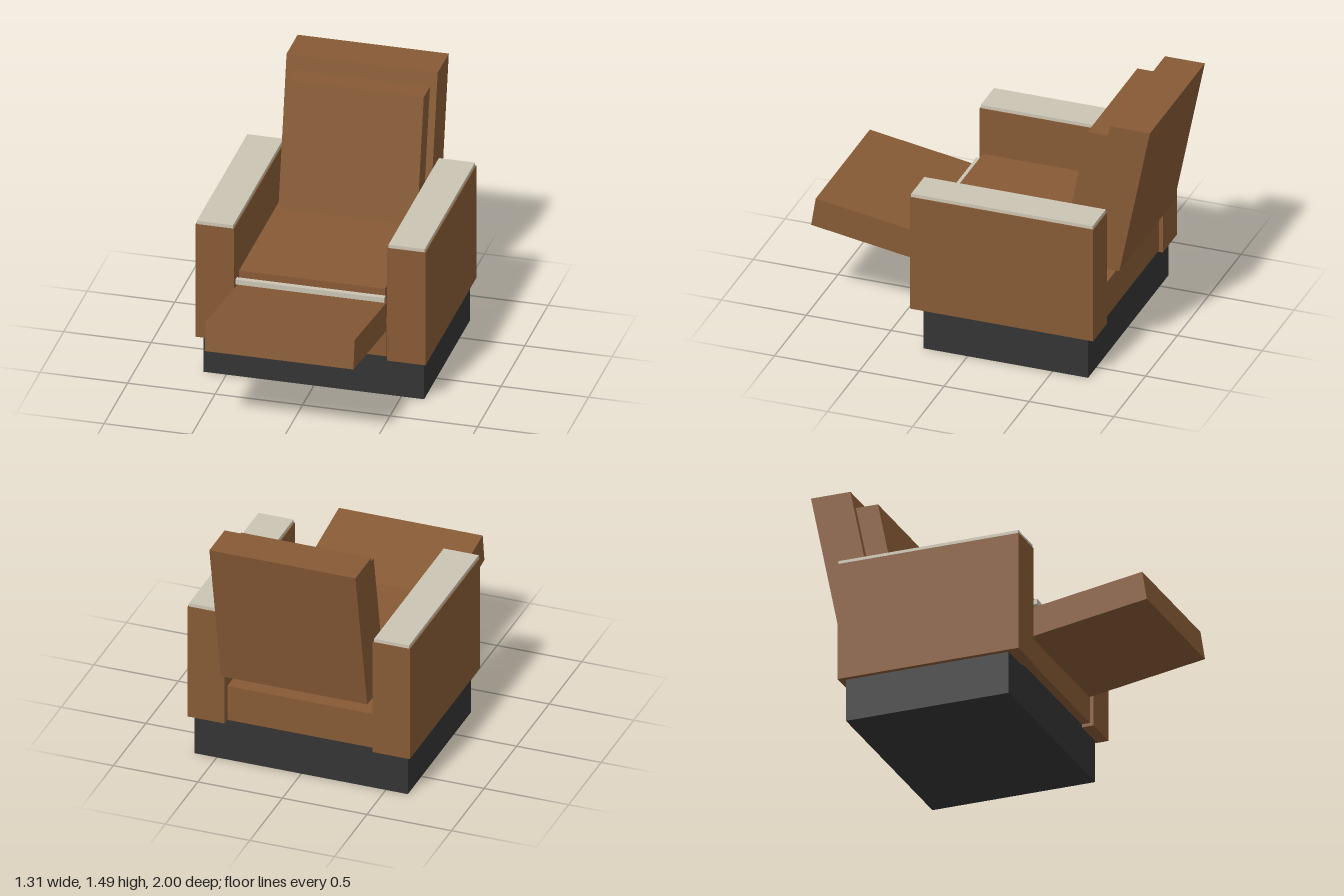
import * as THREE from 'three';

export function createModel() {
  const model = new THREE.Group();
  model.name = 'reclinerArmchair';

  const material = (name, color) => {
    const m = new THREE.MeshStandardMaterial({ color });
    m.name = name;
    return m;
  };
  const leather = material('brown leather', 0x865a35);
  const trim = material('cream trim', 0xcbc4b3);
  const plinth = material('charcoal base', 0x343434);

  // Box from its [min, max] range on each axis
  function addBox(name, mat, [x0, x1], [y0, y1], [z0, z1]) {
    const mesh = new THREE.Mesh(new THREE.BoxGeometry(x1 - x0, y1 - y0, z1 - z0), mat);
    mesh.position.set((x0 + x1) / 2, (y0 + y1) / 2, (z0 + z1) / 2);
    mesh.name = name;
    model.add(mesh);
    return mesh;
  }

  // Box leaning backwards: level top and bottom, sheared in z; z range is given at the top
  function addLeaningBox(name, halfWidth, yRange, zTop) {
    const mesh = addBox(name, leather, [-halfWidth, halfWidth], yRange, zTop);
    const height = yRange[1] - yRange[0];
    const lean = 0.2;
    const shear = new THREE.Matrix4().set(
      1, 0, 0, 0,
      0, 1, 0, 0,
      0, -lean, 1, lean * height / 2,
      0, 0, 0, 1);
    mesh.geometry.applyMatrix4(shear);
    mesh.geometry.computeVertexNormals();
  }

  // Base and seat
  addBox('base', plinth, [-0.63, 0.63], [0, 0.275], [-0.71, 0.26]);
  addBox('seatFrame', leather, [-0.43, 0.43], [0.265, 0.48], [-0.73, 0.31]);
  addBox('seatCushion', leather, [-0.417, 0.417], [0.48, 0.68], [-0.58, 0.302]);
  addBox('seatFrontTrim', trim, [-0.425, 0.425], [0.615, 0.645], [0.315, 0.345]);

  // Arms with trimmed tops
  for (const [side, s] of [['left', 1], ['right', -1]]) {
    const span = (a, b) => (s > 0 ? [a, b] : [-b, -a]);
    addBox(side + 'Arm', leather, span(0.438, 0.657), [0.25, 0.95], [-0.75, 0.33]);
    addBox(side + 'ArmPad', trim, span(0.444, 0.651), [0.95, 0.97], [-0.745, 0.325]);
  }

  // Reclined back and its cushion
  addLeaningBox('backrest', 0.432, [0.59, 1.49], [-1.0, -0.765]);
  addLeaningBox('backCushion', 0.392, [0.66, 1.405], [-0.755, -0.617]);

  // Raised footrest
  const footrest = addBox('footrest', leather, [-0.425, 0.425], [0.475, 0.647], [0.29, 0.99]);
  footrest.position.set(0, 0.56, 0.64);
  footrest.rotation.x = -Math.atan2(0.11, 0.69);

  return model;
}
